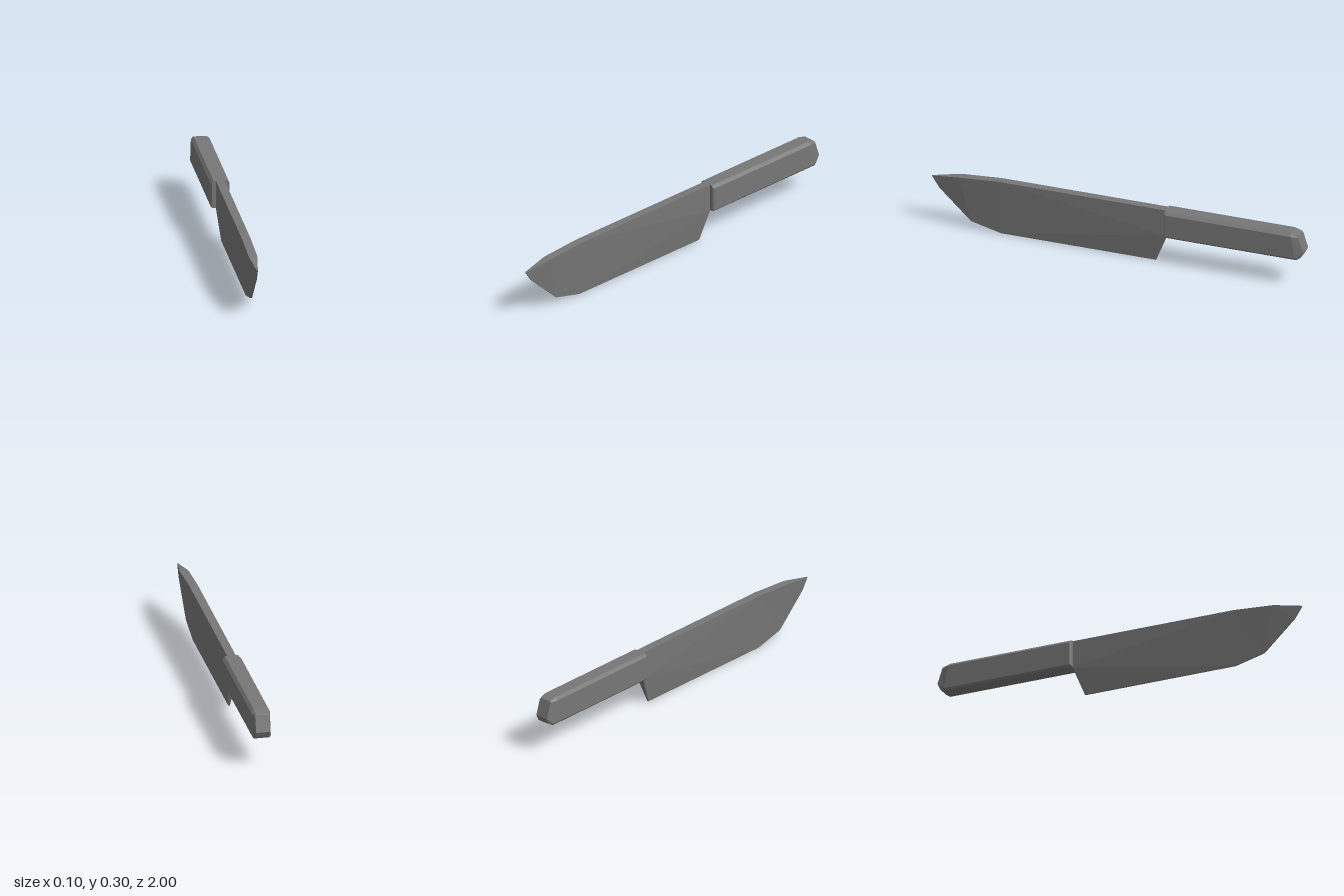
import * as THREE from 'three';

// Flat-shaded mesh from points and faces (each face a convex loop, counter-clockwise from outside)
function facetMesh(name, points, faces, material) {
  const pos = [];
  for (const f of faces)
    for (let i = 1; i < f.length - 1; i++)
      for (const k of [f[0], f[i], f[i + 1]]) pos.push(...points[k]);
  const geo = new THREE.BufferGeometry();
  geo.setAttribute('position', new THREE.Float32BufferAttribute(pos, 3));
  geo.computeVertexNormals();
  const mesh = new THREE.Mesh(geo, material);
  mesh.name = name;
  return mesh;
}

function buildBlade(material) {
  // Outline as [z, y, half thickness]: heel, cutting edge, tip, spine
  const outline = [
    [-0.26, 0.155, 0.022], [-0.2, 0, 0.004], [0.63, 0, 0.004], [0.79, 0.04, 0.004],
    [0.96, 0.2, 0.004], [1, 0.26, 0.003], [0.85, 0.285, 0.022], [0.63, 0.3, 0.022],
    [-0.26, 0.3, 0.022],
  ];
  const n = outline.length;
  const points = [1, -1].flatMap((s) => outline.map(([z, y, w]) => [s * w, y, z]));
  // Side facets running from spine to cutting edge
  const side = [[8, 0, 7], [0, 2, 7], [0, 1, 2], [7, 2, 3], [7, 3, 6], [6, 3, 4], [6, 4, 5]];
  const faces = [];
  for (const f of side) {
    faces.push([...f].reverse());
    faces.push(f.map((k) => k + n));
  }
  // Rim joining the two sides
  for (let i = 0; i < n; i++) {
    const j = (i + 1) % n;
    faces.push([i, j, j + n, i + n]);
  }
  return facetMesh('blade', points, faces, material);
}

function buildHandle(material) {
  // Half cross-sections from front to butt, top to bottom: [x, y, z]
  const sections = [
    [[0.034, 0.3, -0.258], [0.041, 0.29, -0.258], [0.041, 0.16, -0.258], [0.038, 0.155, -0.258]],
    [[0.034, 0.3, -0.265], [0.048, 0.285, -0.265], [0.048, 0.163, -0.265], [0.041, 0.155, -0.265]],
    [[0.034, 0.3, -0.93], [0.048, 0.285, -0.935], [0.048, 0.165, -0.96], [0.041, 0.155, -0.965]],
    [[0.032, 0.288, -0.97], [0.036, 0.28, -0.974], [0.036, 0.2, -1], [0.034, 0.168, -0.985]],
  ];
  // Mirror each half into a ring of eight
  const points = sections.flatMap((s) => [
    ...s, ...[...s].reverse().map(([x, y, z]) => [-x, y, z]),
  ]);
  const faces = [[7, 6, 5, 4, 3, 2, 1, 0]];
  for (let r = 0; r < sections.length - 1; r++)
    for (let i = 0; i < 8; i++) {
      const j = (i + 1) % 8, a = r * 8, b = a + 8;
      faces.push([a + i, a + j, b + j, b + i]);
    }
  // Butt: slanted upper face and lower bevel
  const e = 24;
  faces.push([e, e + 1, e + 2, e + 5, e + 6, e + 7], [e + 2, e + 3, e + 4, e + 5]);
  return facetMesh('handle', points, faces, material);
}

export function createModel() {
  const steel = new THREE.MeshStandardMaterial({ color: 0x777777 });
  steel.name = 'dark grey';
  const knife = new THREE.Group();
  knife.name = 'kitchenKnife';
  knife.add(buildBlade(steel), buildHandle(steel));
  return knife;
}
